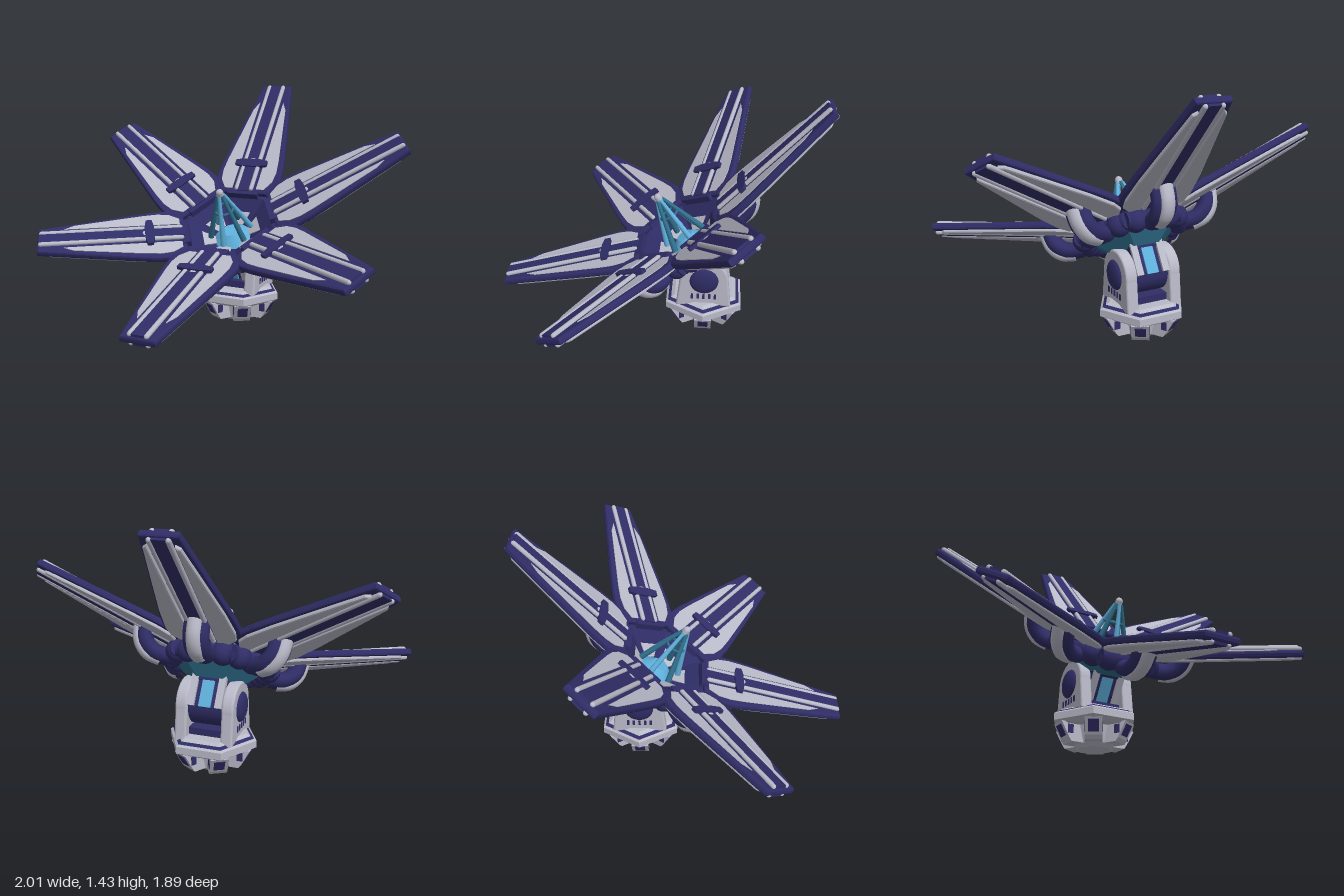
import * as THREE from 'three';

const mat = (name, color, extra = {}) => Object.assign(new THREE.MeshStandardMaterial({ color, ...extra }), { name });
const both = { side: THREE.DoubleSide };

export function createModel() {
  const navy = mat('navy', 0x2f2d66);
  const grey = mat('pale grey', 0xb9bac8);
  const steel = mat('flat pale grey', 0xb9bac8, { flatShading: true, ...both });
  const navyFlat = mat('flat navy', 0x2f2d66, { flatShading: true, ...both });
  const teal = mat('teal', 0x2f6f8c, { flatShading: true, ...both });
  const blue = mat('light blue', 0x5fb0dc);

  const model = new THREE.Group();
  model.name = 'dishAntenna';

  const add = (parent, name, geo, material, x = 0, y = 0, z = 0) => {
    const m = new THREE.Mesh(geo, material);
    m.name = name;
    m.position.set(x, y, z);
    parent.add(m);
    return m;
  };
  // Round bar between two points
  const bar = (parent, name, a, b, r0, r1, material) => {
    const d = b.clone().sub(a);
    const m = add(parent, name, new THREE.CylinderGeometry(r1, r0, d.length(), 10), material);
    m.position.copy(a).addScaledVector(d, 0.5);
    m.quaternion.setFromUnitVectors(new THREE.Vector3(0, 1, 0), d.normalize());
    return m;
  };
  // Flat plate in the xz plane; its top face lies at y = 0
  const plate = (pts, depth, bevel = 0) => {
    const g = new THREE.ExtrudeGeometry(new THREE.Shape(pts.map(p => new THREE.Vector2(...p))), {
      depth: depth - 2 * bevel, bevelEnabled: bevel > 0, bevelSize: bevel, bevelThickness: bevel,
      bevelOffset: -bevel, bevelSegments: 2,
    });
    return g.rotateX(Math.PI / 2).translate(0, -bevel, 0);
  };
  const mirrored = half => [...half, ...half.map(([x, s]) => [-x, s]).reverse()];
  const V = (x, y, z) => new THREE.Vector3(x, y, z);

  // ---------- Tilted dish: local y is the dish axis ----------
  const dish = new THREE.Group();
  dish.name = 'dish';
  dish.position.set(0, 0.83, 0.005);
  dish.rotation.x = THREE.MathUtils.degToRad(32);
  model.add(dish);

  const L = 0.87;
  const outline = mirrored([[0.15, 0], [0.2, 0.04], [0.218, 0.1], [0.212, 0.2], [0.19, 0.34], [0.1, L]]);
  const topPanel = [[0.08, 0.03], [0.13, 0.03], [0.17, 0.09], [0.18, 0.16], [0.172, 0.25], [0.112, 0.66], [0.082, 0.72]];
  const backPanel = [[0.07, 0.02], [0.14, 0.02], [0.185, 0.06], [0.197, 0.13], [0.18, 0.3], [0.095, 0.8], [0.07, 0.82]];
  const flip = pts => pts.map(([x, s]) => [-x, s]).reverse();

  const bodyGeo = plate(outline, 0.04, 0.012);
  const spineGeo = new THREE.BoxGeometry(0.07, 0.066, L - 0.02);
  const railGeo = new THREE.CapsuleGeometry(0.014, L - 0.05, 4, 10).rotateX(Math.PI / 2);
  const crossGeo = mirrored([[0.05, 0.19], [0.105, 0.2], [0.105, 0.235], [0.05, 0.245]]);
  const clampGeo = plate(crossGeo, 0.03);
  const hook = new THREE.CatmullRomCurve3([V(0, -0.34, 0.29), V(0, -0.33, 0.38), V(0, -0.28, 0.44), V(0, -0.19, 0.46)]);
  const ridge = new THREE.CatmullRomCurve3([V(0, -0.37, 0.34), V(0, -0.35, 0.42), V(0, -0.29, 0.475), V(0, -0.17, 0.5)]);
  const hookGeo = new THREE.TubeGeometry(hook, 14, 0.05, 12).scale(1.5, 1, 1);
  const ridgeGeo = new THREE.TubeGeometry(ridge, 14, 0.03, 12).scale(1.4, 1, 1);

  for (let i = 0; i < 6; i++) {
    const sector = new THREE.Group();
    sector.name = 'petalSector';
    sector.rotation.y = i * Math.PI / 3;
    dish.add(sector);

    // Petal
    const petal = new THREE.Group();
    petal.name = 'petal';
    petal.position.set(0, -0.225, 0.26);
    petal.rotation.x = THREE.MathUtils.degToRad(-16);
    sector.add(petal);
    add(petal, 'petalFrame', bodyGeo, navy);
    add(petal, 'petalSpine', spineGeo, navy, 0, -0.02, L / 2);
    add(petal, 'crossClamp', clampGeo, navy, 0, 0.024, 0);
    for (const side of [1, -1]) {
      const pick = pts => side > 0 ? pts : flip(pts);
      add(petal, 'facePanel', plate(pick(topPanel), 0.006), grey, 0, 0.004, 0);
      add(petal, 'backPanel', plate(pick(backPanel), 0.026, 0.01), grey, 0, -0.032, 0);
      add(petal, 'faceRail', railGeo, grey, side * 0.048, 0.006, L / 2 + 0.005);
      add(petal, 'backRail', railGeo, grey, side * 0.048, -0.046, L / 2 + 0.005);
    }

    // Bracket holding the petal from behind
    add(sector, 'petalBracket', hookGeo, navy);
    add(sector, 'bracketRidge', ridgeGeo, grey);
    add(sector, 'bracketRidgeTip', new THREE.SphereGeometry(0.03, 12, 8), grey, 0, -0.17, 0.5).scale.x = 1.4;

    // Chunky ring links along one side of the hexagon
    for (const x of [-0.1, 0, 0.1]) {
      add(sector, 'ringLink', new THREE.SphereGeometry(0.066, 14, 10), navy, x, -0.315, 0.265);
    }
    bar(sector, 'ringTube', V(-0.16, -0.31, 0.265), V(0.16, -0.31, 0.265), 0.05, 0.05, navy);
    add(sector, 'petalHinge', new THREE.BoxGeometry(0.2, 0.07, 0.05), navy, 0, -0.25, 0.265);

    // Inner bowl panel
    const panel = add(sector, 'bowlPanel', plate([[-0.03, 0], [0.03, 0], [0.09, 0.14], [-0.09, 0.14]], 0.008), grey, 0, -0.342, 0.1);
    panel.rotation.x = -0.5;

    // Feed legs, alternating colours
    bar(sector, 'feedLeg', V(0, -0.31, 0.125), V(0, -0.02, 0.018), 0.018, 0.01, i % 2 ? teal : blue);
  }

  // Hub shell behind the ring
  const hex = pts => new THREE.LatheGeometry(pts.map(p => new THREE.Vector2(...p)), 6).rotateY(Math.PI / 6);
  add(dish, 'hubShell', hex([[0.15, -0.43], [0.28, -0.33]]), teal);
  add(dish, 'hubBowl', hex([[0, -0.36], [0.11, -0.36], [0.28, -0.25]]), navyFlat);
  add(dish, 'hubBack', hex([[0, -0.44], [0.15, -0.44], [0.16, -0.41]]), navyFlat);
  add(dish, 'feedBase', new THREE.CylinderGeometry(0.05, 0.12, 0.06, 18), blue, 0, -0.33, 0);
  add(dish, 'feedHead', new THREE.CapsuleGeometry(0.022, 0.025, 6, 12), grey, 0, -0.015, 0);
  const collar = add(dish, 'feedCollar', new THREE.TorusGeometry(0.055, 0.008, 8, 18), teal, 0, -0.13, 0);
  collar.rotation.x = Math.PI / 2;

  // Neck running down the axis to the pivot
  add(dish, 'neck', new THREE.BoxGeometry(0.2, 0.2, 0.24), navy, 0, -0.49, 0);
  for (const z of [1, -1]) {
    add(dish, 'neckStripe', new THREE.BoxGeometry(0.07, 0.2, 0.012), blue, 0, -0.49, z * 0.122);
    for (const x of [1, -1]) add(dish, 'neckRib', new THREE.BoxGeometry(0.04, 0.22, 0.03), grey, x * 0.08, -0.48, z * 0.12);
  }

  // ---------- Mount ----------
  const mount = new THREE.Group();
  mount.name = 'mount';
  mount.position.z = -0.28;
  model.add(mount);

  // Pivot drum and yoke arms
  const drum = add(mount, 'pivotDrum', new THREE.CylinderGeometry(0.12, 0.12, 0.22, 28), navy, 0, 0.37, 0);
  drum.rotation.z = Math.PI / 2;
  const arm = new THREE.Shape();
  arm.moveTo(-0.15, 0.2);
  arm.lineTo(0.15, 0.2);
  arm.lineTo(0.13, 0.37);
  arm.absarc(0, 0.37, 0.13, 0, Math.PI, false);
  arm.closePath();
  const armGeo = new THREE.ExtrudeGeometry(arm, { depth: 0.045, bevelSize: 0.012, bevelThickness: 0.012, bevelSegments: 3, curveSegments: 20 })
    .rotateY(Math.PI / 2).translate(-0.0225, 0, 0);
  for (const x of [1, -1]) {
    add(mount, 'yokeArm', armGeo, grey, x * 0.135, 0, 0);
    const cap = add(mount, 'pivotCap', new THREE.SphereGeometry(0.085, 24, 14), navy, x * 0.168, 0.37, 0);
    cap.scale.x = 0.35;
    for (let k = -2; k <= 2; k++) {
      add(mount, 'armSlot', new THREE.BoxGeometry(0.008, 0.035, 0.014), navy, x * 0.169, 0.262, k * 0.034);
    }
  }
  add(mount, 'yokeFloor', new THREE.BoxGeometry(0.26, 0.05, 0.22), navy, 0, 0.23, 0);

  // Hexagonal base
  add(mount, 'baseRing', hex([[0, 0.12], [0.225, 0.12], [0.26, 0.14], [0.26, 0.18], [0.245, 0.19]]), steel);
  add(mount, 'baseBand', hex([[0.245, 0.19], [0.225, 0.202]]), navyFlat);
  add(mount, 'baseTop', hex([[0.225, 0.202], [0.2, 0.215], [0, 0.215]]), steel);
  add(mount, 'baseCore', hex([[0, 0], [0.1, 0], [0.125, 0.02], [0.15, 0.13]]), steel);

  // Tapered feet under each corner with dark windows
  const profile = new THREE.Shape([[0.08, 0.13], [0.08, 0.02], [0.17, 0.02], [0.185, 0.04], [0.235, 0.13]].map(p => new THREE.Vector2(...p)));
  const footGeo = new THREE.ExtrudeGeometry(profile, { depth: 0.1, bevelEnabled: false }).translate(0, 0, -0.05);
  for (let i = 0; i < 6; i++) {
    const foot = new THREE.Group();
    foot.name = 'baseFoot';
    foot.rotation.y = i * Math.PI / 3;
    mount.add(foot);
    add(foot, 'footBlock', footGeo, steel);
    const win = add(foot, 'footWindow', new THREE.BoxGeometry(0.008, 0.07, 0.06), navy, 0.211, 0.086, 0);
    win.rotation.z = -Math.atan2(0.05, 0.09);
    for (const z of [1, -1]) {
      add(foot, 'footSideWindow', new THREE.BoxGeometry(0.035, 0.05, 0.006), navy, 0.178, 0.09, z * 0.05);
    }
  }
  return model;
}
